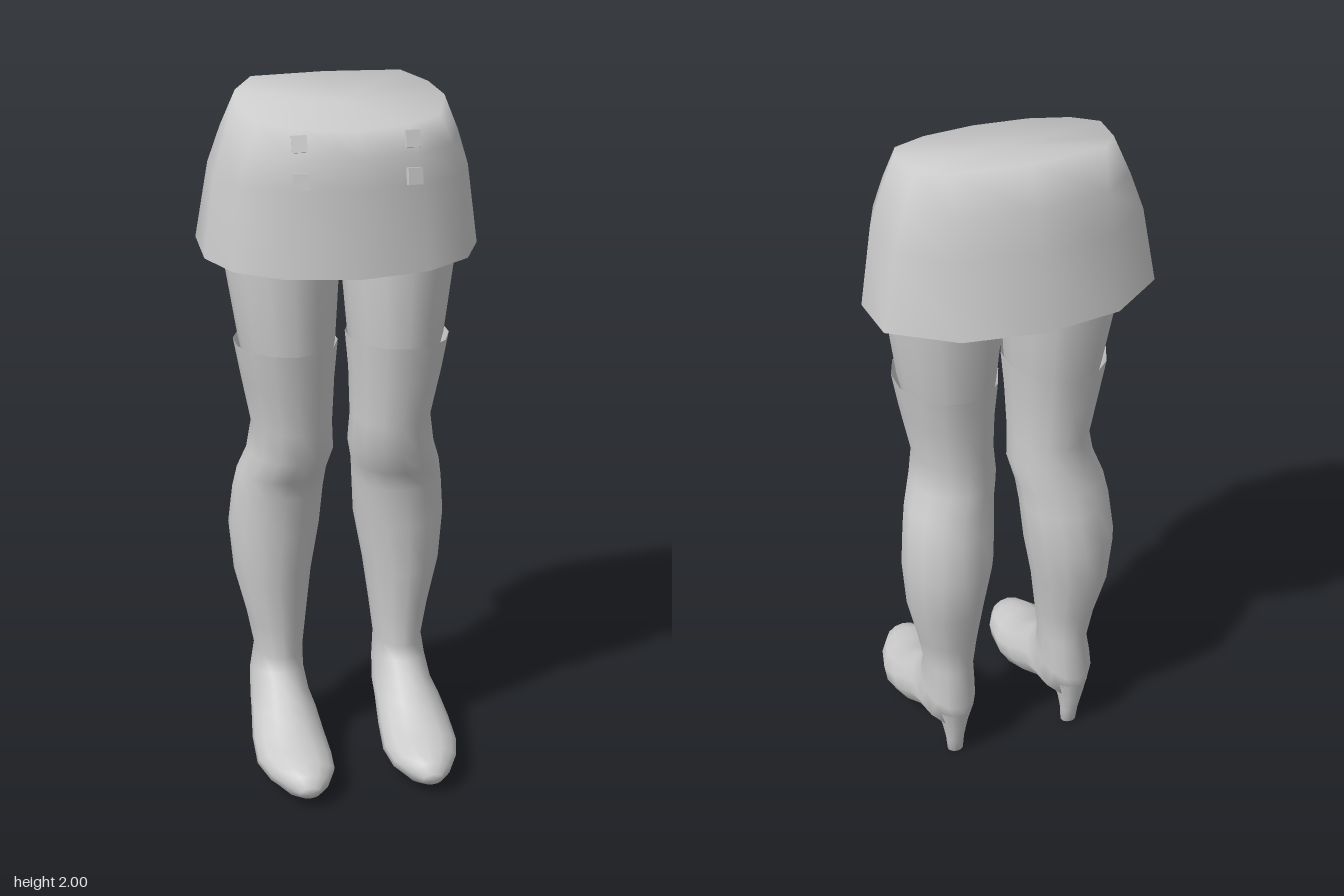
import * as THREE from 'three';

const material = new THREE.MeshStandardMaterial({ color: 0xcccccc, side: THREE.DoubleSide });

// Skins a list of equal-length point rings; optional centre points close the ends.
function skin(name, rings, startCap, endCap) {
  const n = rings[0].length;
  const positions = rings.flat(2);
  const index = [];
  for (let i = 0; i < rings.length - 1; i++) {
    for (let j = 0; j < n; j++) {
      const k = (j + 1) % n;
      const a = i * n + j, b = i * n + k, c = a + n, d = b + n;
      index.push(a, c, d, a, d, b);
    }
  }
  const close = (centre, first, flip) => {
    const c = positions.length / 3;
    positions.push(...centre);
    for (let j = 0; j < n; j++) {
      const a = first + j, b = first + (j + 1) % n;
      index.push(...(flip ? [c, b, a] : [c, a, b]));
    }
  };
  if (startCap) close(startCap, 0, false);
  if (endCap) close(endCap, (rings.length - 1) * n, true);
  const geometry = new THREE.BufferGeometry();
  geometry.setAttribute('position', new THREE.Float32BufferAttribute(positions, 3));
  geometry.setIndex(index);
  geometry.computeVertexNormals();
  const mesh = new THREE.Mesh(geometry, material);
  mesh.name = name;
  return mesh;
}

// Oval ring between a front point and a back point in the z-y plane.
// Section: [zFront, yFront, zBack, yBack, xInner, xOuter]
function oval([zf, yf, zb, yb, xi, xo], side, n = 14) {
  const ring = [];
  for (let j = 0; j < n; j++) {
    const a = (j / n) * Math.PI * 2;
    const t = (1 + Math.cos(a)) / 2;
    ring.push([
      side * (xi + xo) / 2 + Math.sin(a) * (xo - xi) / 2,
      yb + (yf - yb) * t,
      zb + (zf - zb) * t,
    ]);
  }
  return ring;
}

const thighSections = [
  [0.13, 1.70, -0.25, 1.70, 0.0, 0.335],
  [0.13, 1.52, -0.245, 1.52, 0.005, 0.33],
  [0.125, 1.29, -0.205, 1.29, 0.022, 0.295],
  [0.10, 1.18, -0.185, 1.18, 0.04, 0.27],
];

const bootSections = [
  [0.14, 1.29, -0.215, 1.29, 0.015, 0.31],
  [0.125, 1.18, -0.20, 1.18, 0.025, 0.29],
  [0.098, 1.04, -0.185, 1.04, 0.03, 0.262],
  [0.09, 0.95, -0.195, 0.96, 0.025, 0.275],
  [0.05, 0.88, -0.208, 0.89, 0.04, 0.30],
  [0.03, 0.82, -0.222, 0.82, 0.046, 0.312],
  [0.025, 0.70, -0.25, 0.70, 0.055, 0.323],
  [0.015, 0.55, -0.23, 0.55, 0.082, 0.31],
  [0.007, 0.40, -0.20, 0.42, 0.10, 0.275],
  [0.005, 0.30, -0.187, 0.32, 0.112, 0.256],
  // Instep and foot, turning forward
  [0.02, 0.262, -0.21, 0.20, 0.11, 0.268],
  [0.08, 0.22, -0.185, 0.12, 0.103, 0.275],
  [0.13, 0.185, -0.10, 0.112, 0.095, 0.285],
  [0.19, 0.145, 0.0, 0.055, 0.086, 0.298],
  [0.25, 0.127, 0.11, 0.002, 0.08, 0.30],
  [0.31, 0.116, 0.23, 0.002, 0.088, 0.278],
  [0.355, 0.10, 0.32, 0.012, 0.12, 0.242],
  [0.375, 0.07, 0.365, 0.032, 0.15, 0.212],
];

const heelSections = [
  [-0.07, 0.15, -0.205, 0.17, 0.135, 0.245],
  [-0.115, 0.10, -0.19, 0.10, 0.152, 0.226],
  [-0.127, 0.05, -0.178, 0.05, 0.16, 0.216],
  [-0.13, 0.0, -0.17, 0.0, 0.163, 0.211],
];

function leg(side) {
  const group = new THREE.Group();
  group.name = side > 0 ? 'leftLeg' : 'rightLeg';
  const build = (sections) => sections.map((s) => oval(s, side));
  group.add(
    skin('thigh', build(thighSections), [side * 0.168, 1.72, -0.06]),
    skin('boot', build(bootSections), null, [side * 0.181, 0.05, 0.375]),
    skin('heel', build(heelSections), null, [side * 0.187, 0, -0.15]),
  );
  return group;
}

// Half outlines of the skirt, from centre front round to centre back: [x, y, z]
const skirtHalves = [
  [[0, 1.92, 0.16], [0.15, 1.925, 0.137], [0.25, 1.937, 0.08], [0.29, 1.968, -0.03],
    [0.275, 1.982, -0.15], [0.215, 2, -0.235], [0, 2, -0.26]],
  [[0, 1.85, 0.185], [0.17, 1.85, 0.158], [0.285, 1.855, 0.085], [0.33, 1.87, -0.03],
    [0.315, 1.88, -0.175], [0.21, 1.89, -0.275], [0, 1.89, -0.30]],
  [[0, 1.77, 0.2], [0.187, 1.77, 0.17], [0.312, 1.77, 0.092], [0.36, 1.77, -0.025],
    [0.35, 1.775, -0.19], [0.21, 1.78, -0.31], [0, 1.78, -0.337]],
  [[0, 1.525, 0.215], [0.2, 1.528, 0.182], [0.33, 1.534, 0.10], [0.39, 1.543, -0.022],
    [0.387, 1.557, -0.203], [0.222, 1.568, -0.34], [0, 1.571, -0.377]],
];

export function createModel() {
  const model = new THREE.Group();
  model.name = 'skirtAndLegs';

  // Skirt, closed at the waist and open at the hem
  const rings = skirtHalves.map((half) => [
    ...half,
    ...half.slice(1, -1).reverse().map(([x, y, z]) => [-x, y, z]),
  ]);
  model.add(skin('skirt', rings, [0, 1.957, -0.05]));

  // Hips joining the legs under the skirt
  const hips = new THREE.Mesh(new THREE.SphereGeometry(1, 20, 12), material);
  hips.name = 'hips';
  hips.scale.set(0.3, 0.13, 0.17);
  hips.position.set(0, 1.67, -0.06);
  model.add(hips);

  for (const side of [1, -1]) {
    model.add(leg(side));
    // Belt loops on the front of the skirt
    for (const [y, z, tilt] of [[1.89, 0.148, -0.32], [1.795, 0.178, -0.17]]) {
      const loop = new THREE.Mesh(new THREE.BoxGeometry(0.042, 0.046, 0.016), material);
      loop.name = 'beltLoop';
      loop.position.set(side * 0.155, y, z);
      loop.rotation.set(tilt, side * 0.16, 0);
      model.add(loop);
    }
  }
  return model;
}
